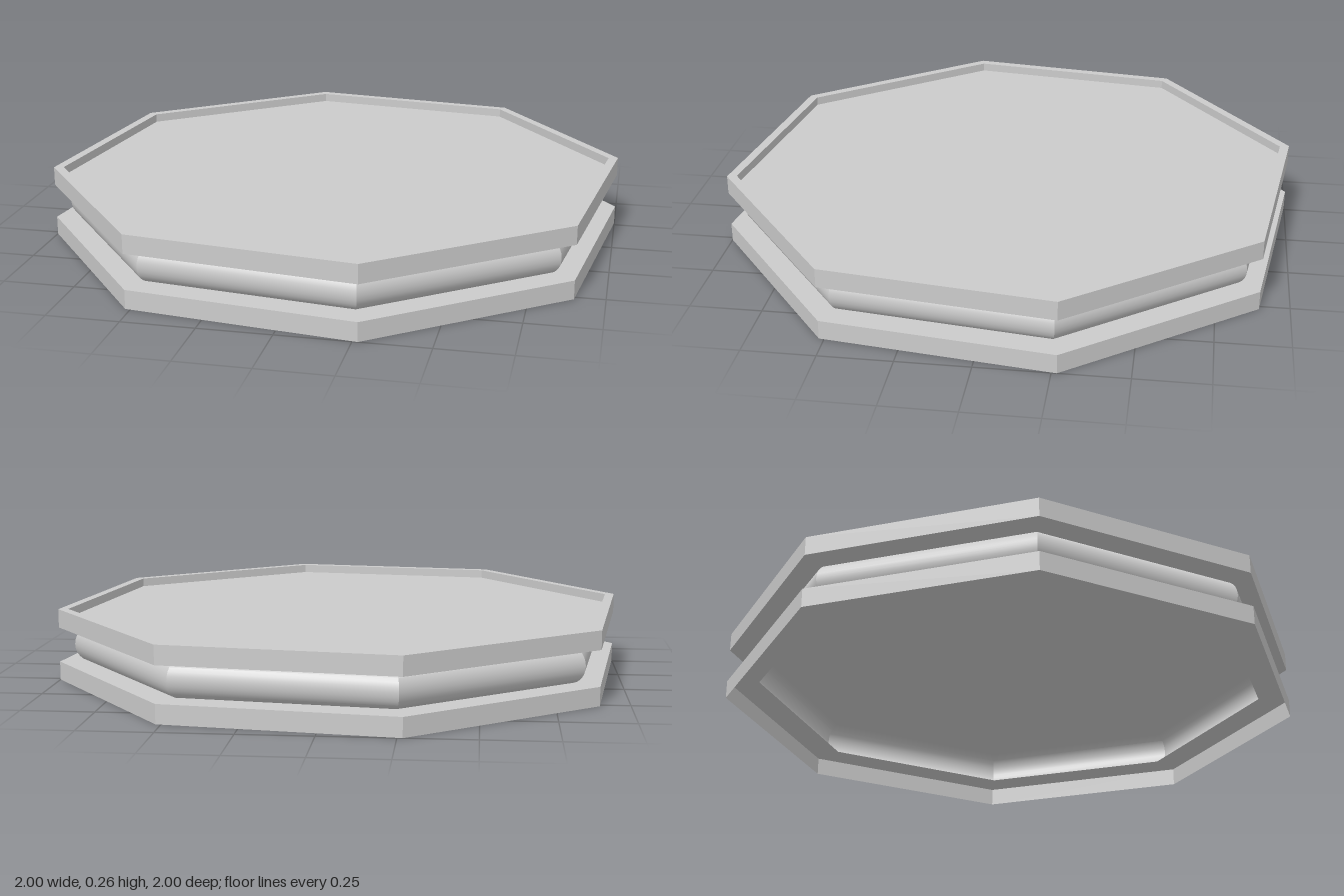
import * as THREE from 'three';
import { toCreasedNormals } from 'three/addons/utils/BufferGeometryUtils.js';

const SIDES = 8;
const TURN = Math.PI / 12; // the octagon is turned 15 degrees

// Sweep a [radius, height] profile around the octagon
function octagon(name, profile, crease) {
  const points = profile.map(([r, y]) => new THREE.Vector2(r, y));
  const lathe = new THREE.LatheGeometry(points, SIDES, TURN);
  const material = new THREE.MeshStandardMaterial({ color: 0xcccccc, side: THREE.DoubleSide });
  const mesh = new THREE.Mesh(toCreasedNormals(lathe, crease), material);
  mesh.name = name;
  return mesh;
}

export function createModel() {
  const group = new THREE.Group();
  group.name = 'octagonalPlatform';

  // Lower frame: outer wall and inward ledge, open underneath
  group.add(octagon('lowerFrame', [[1.035, 0], [1.035, 0.066], [0.92, 0.066]], 0.3));

  // Upper tray: slab with a thin raised rim around a recessed floor
  group.add(octagon('upperTray', [
    [0, 0.19], [1.035, 0.19], [1.035, 0.256],
    [1.0, 0.256], [1.0, 0.225], [0, 0.225],
  ], 0.3));

  // Cushion band: rounded outer bulge between the two plates
  const band = [];
  for (let i = 0; i <= 12; i++) {
    const a = -Math.PI / 2 + (Math.PI * i) / 12;
    band.push([0.925 + 0.055 * Math.cos(a), 0.128 + 0.062 * Math.sin(a)]);
  }
  group.add(octagon('cushionBand', band, 0.6));

  return group;
}
